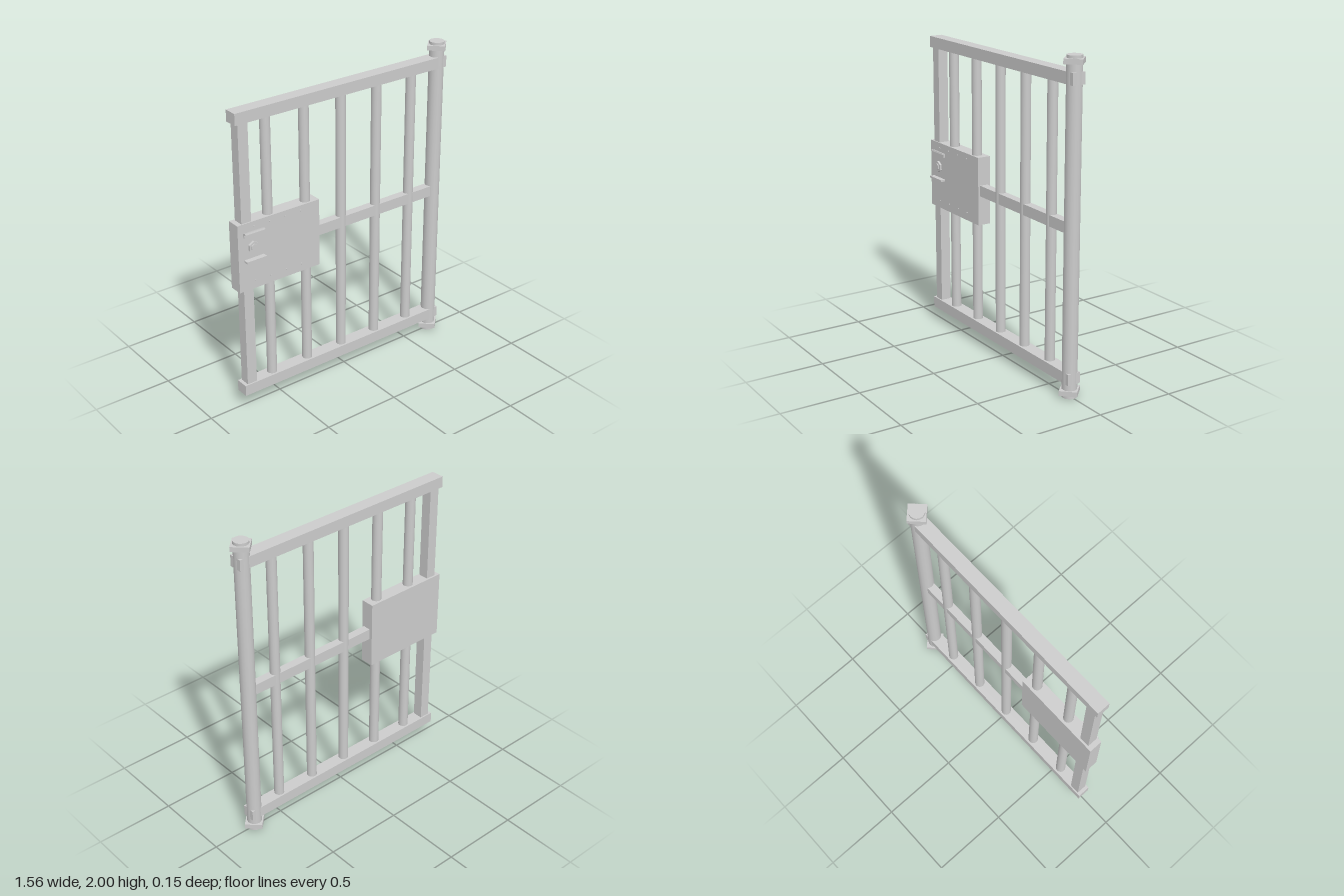
import * as THREE from 'three';

const material = new THREE.MeshStandardMaterial({ color: 0xcccccc });
const flatMaterial = new THREE.MeshStandardMaterial({ color: 0xcccccc, flatShading: true });

export function createModel() {
  const model = new THREE.Group();

  function add(name, geometry, x, y, z, mat = material) {
    const mesh = new THREE.Mesh(geometry, mat);
    mesh.name = name;
    mesh.position.set(x, y, z);
    model.add(mesh);
    return mesh;
  }

  // Box given by its limits on each axis
  function block(name, [x0, x1], [y0, y1], [z0, z1]) {
    const geometry = new THREE.BoxGeometry(x1 - x0, y1 - y0, z1 - z0);
    return add(name, geometry, (x0 + x1) / 2, (y0 + y1) / 2, (z0 + z1) / 2);
  }

  // Frame: top and bottom rails, latch-side stile, middle rail
  block('topRail', [-0.775, 0.747], [1.838, 1.908], [-0.042, 0.042]);
  block('bottomRail', [-0.775, 0.747], [0.088, 0.158], [-0.042, 0.042]);
  block('latchStile', [-0.753, -0.687], [0.12, 1.87], [-0.033, 0.033]);
  block('middleRail', [-0.25, 0.69], [0.988, 1.056], [-0.0265, 0.0265]);

  // Round upright bars
  for (let i = 0; i < 5; i++) {
    add('bar', new THREE.CylinderGeometry(0.031, 0.031, 1.74, 16), -0.553 + i * 0.2645, 1, 0);
  }

  // Hinge post with a square collar at each end
  const postX = 0.704;
  add('hingePost', new THREE.CylinderGeometry(0.046, 0.046, 2, 16), postX, 1, 0);
  for (const y of [0.035, 1.968]) {
    add('hingeCollar', new THREE.CylinderGeometry(0.076, 0.076, 0.03, 4), postX, y, 0, flatMaterial);
  }

  // Lock case
  block('lockCase', [-0.785, -0.214], [0.802, 1.234], [-0.046, 0.04]);

  // Rivets along the top and bottom of the lock case
  for (const y of [0.85, 1.2]) {
    for (let i = 0; i < 4; i++) {
      const rivet = add('rivet', new THREE.CylinderGeometry(0.006, 0.006, 0.008, 8), -0.674 + i * 0.109, y, 0.04);
      rivet.rotation.x = Math.PI / 2;
    }
  }

  // Ledges above and below the lock
  block('lowerLedge', [-0.748, -0.612], [0.993, 1.005], [0.035, 0.072]);
  block('upperLedge', [-0.748, -0.612], [1.15, 1.17], [0.035, 0.05]);
  const lip = block('upperLedgeLip', [-0.748, -0.612], [1.168, 1.178], [0.035, 0.062]);
  lip.rotation.x = -0.3;

  // Hexagonal lock with a raised centre
  for (const [name, radius, depth] of [['lockNut', 0.036, 0.018], ['lockCore', 0.022, 0.024]]) {
    const geometry = new THREE.CylinderGeometry(radius, radius, depth, 6);
    geometry.rotateX(Math.PI / 2);
    add(name, geometry, -0.685, 1.077, 0.036 + depth / 2, flatMaterial);
  }

  return model;
}
